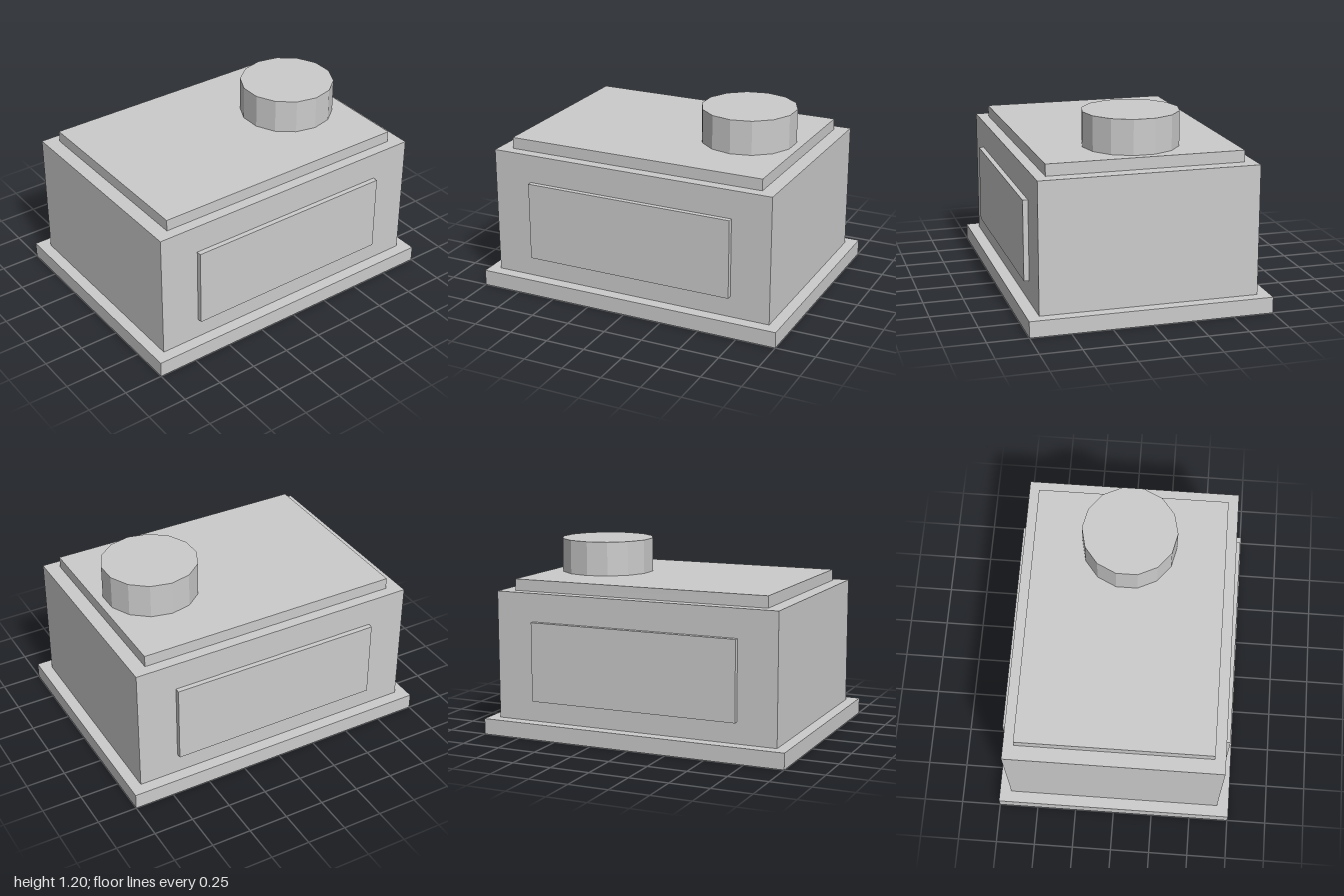
import * as THREE from 'three';

export function createModel() {
  const model = new THREE.Group();
  const material = new THREE.MeshStandardMaterial({ color: 0xcccccc, flatShading: true });

  function add(name, geometry, x, y, z) {
    const mesh = new THREE.Mesh(geometry, material);
    mesh.name = name;
    mesh.position.set(x, y, z);
    model.add(mesh);
  }

  // Box resting on height y0 and reaching y1
  function addBox(name, width, y0, y1, depth, z = 0) {
    add(name, new THREE.BoxGeometry(width, y1 - y0, depth), 0, (y0 + y1) / 2, z);
  }

  // Stacked housing: plinth, body and lid
  addBox('base', 2, 0, 0.1, 1.5);
  addBox('body', 1.857, 0.1, 0.908, 1.35);
  addBox('lid', 1.677, 0.908, 0.98, 1.214);

  // Raised panels on the front and back
  for (const [name, side] of [['frontPanel', 1], ['backPanel', -1]]) {
    addBox(name, 1.354, 0.232, 0.73, 0.06, side * 0.677);
  }

  // Fourteen-sided cap on the left of the lid
  add('roundCap', new THREE.CylinderGeometry(0.298, 0.298, 0.215, 14), 0.497, 1.0875, 0);

  return model;
}
